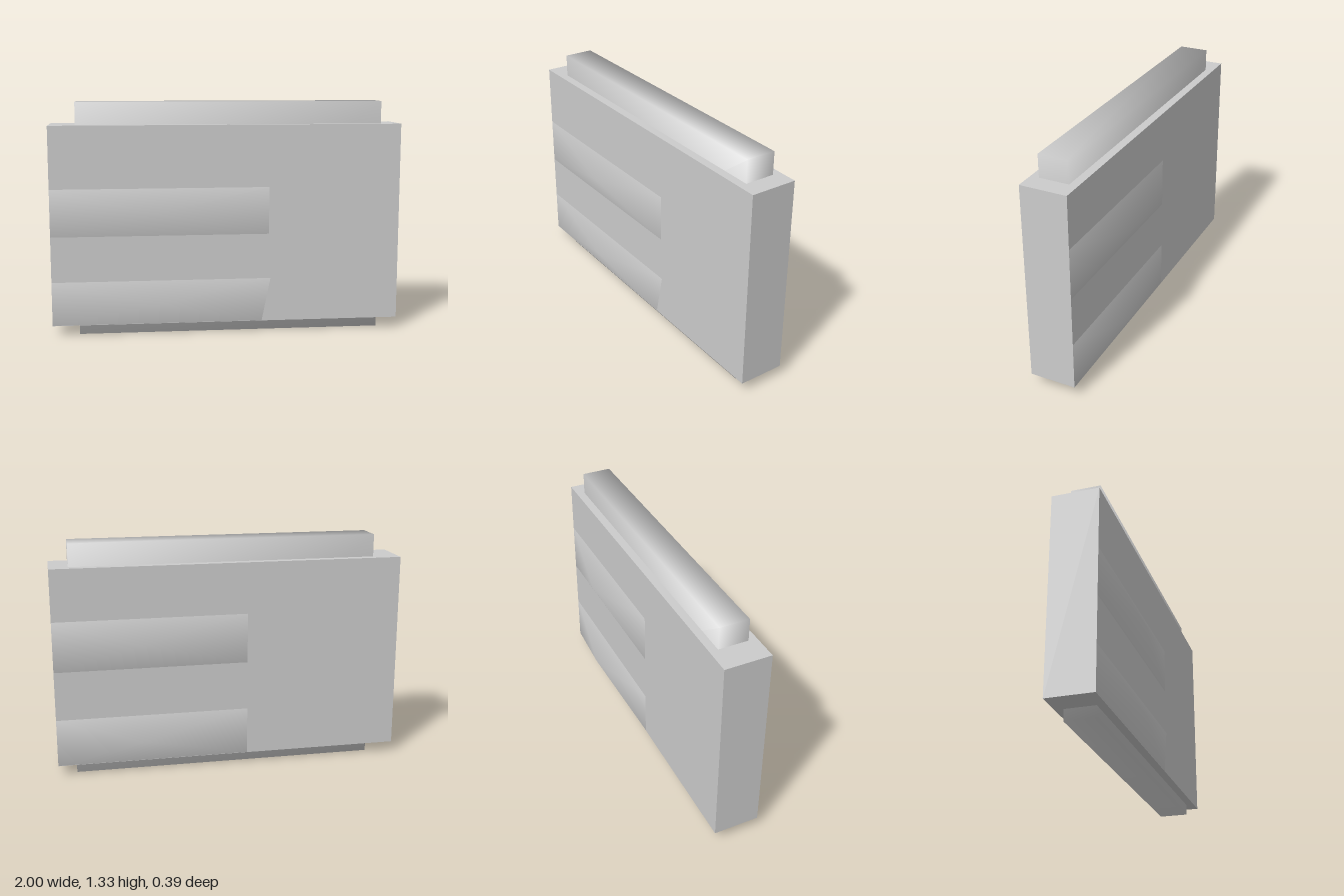
import * as THREE from 'three';

const casing = new THREE.MeshStandardMaterial({ color: 0xcccccc });
casing.name = 'light grey';

// Box spanning two corners
function block(name, min, max) {
  const size = max.map((v, i) => v - min[i]);
  const mesh = new THREE.Mesh(new THREE.BoxGeometry(...size), casing);
  mesh.position.set(...max.map((v, i) => (v + min[i]) / 2));
  mesh.name = name;
  return mesh;
}

// Shallow four-sided bulge on a face; side is +1 for front, -1 for back
function bulge(name, side, x0, x1, y0, y1, z, apex, slant = 0) {
  const points = [x0, y0, z, x1 - slant, y0, z, x1, y1, z, x0, y1, z, ...apex];
  const faces = [];
  for (let i = 0; i < 4; i++) {
    const j = (i + 1) % 4;
    faces.push(...(side > 0 ? [i, j, 4] : [j, i, 4]));
  }
  const geometry = new THREE.BufferGeometry();
  geometry.setAttribute('position', new THREE.Float32BufferAttribute(points, 3));
  geometry.setIndex(faces);
  geometry.computeVertexNormals();
  const mesh = new THREE.Mesh(geometry, casing);
  mesh.name = name;
  return mesh;
}

export function createModel() {
  const model = new THREE.Group();
  model.name = 'panel';

  // Main slab
  model.add(block('slab', [-1, 0.063, -0.122], [1, 1.2, 0.14]));

  // Inner core, projecting at top and bottom, with softly shaded corners
  const core = block('core', [-0.85, 0, -0.075], [0.893, 1.328, 0.093]);
  const { position, normal } = core.geometry.attributes;
  const n = new THREE.Vector3();
  for (let i = 0; i < position.count; i++) {
    n.set(Math.sign(position.getX(i)), Math.sign(position.getY(i)), Math.sign(position.getZ(i))).normalize();
    normal.setXYZ(i, n.x, n.y, n.z);
  }
  model.add(core);

  // Two bulges on each face
  model.add(
    bulge('frontUpperBulge', 1, -1, 0.24, 0.575, 0.845, 0.14, [-0.38, 0.71, 0.198]),
    bulge('frontLowerBulge', 1, -1, 0.25, 0.065, 0.315, 0.14, [-0.38, 0.185, 0.194], 0.05),
    bulge('backUpperBulge', -1, -0.1, 1, 0.618, 0.905, -0.122, [0.5, 0.765, -0.197]),
    bulge('backLowerBulge', -1, -0.1, 1, 0.065, 0.337, -0.122, [0.5, 0.2, -0.197])
  );
  return model;
}
